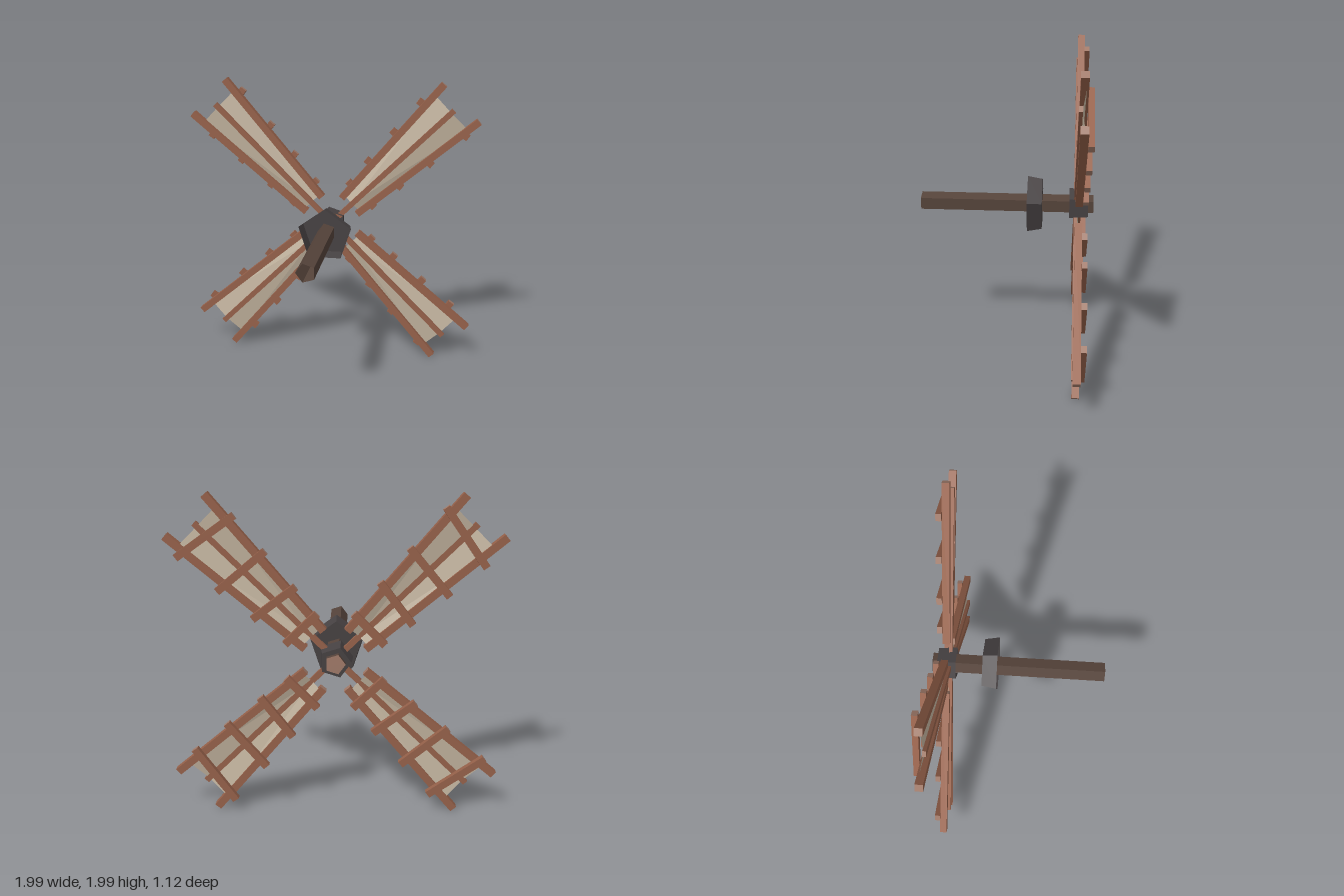
import * as THREE from 'three';

const make = (name, color, side = THREE.FrontSide) =>
  new THREE.MeshStandardMaterial({ name, color, side, flatShading: true });

export function createModel() {
  const wood = make('wood', 0x96614a);
  const endGrain = make('end grain', 0xa07a69, THREE.DoubleSide);
  const darkWood = make('dark wood', 0x55433a, THREE.DoubleSide);
  const iron = make('iron', 0x464142, THREE.DoubleSide);
  const cloth = make('cloth', 0xc4b5a0, THREE.DoubleSide);

  const model = new THREE.Group();
  model.name = 'windmillSails';
  const rotor = new THREE.Group();
  rotor.name = 'rotor';
  rotor.position.y = 1.005;
  model.add(rotor);

  const add = (parent, name, geometry, material) => {
    const mesh = new THREE.Mesh(geometry, material);
    mesh.name = name;
    parent.add(mesh);
    return mesh;
  };

  // Five-sided sleeve along z, open in front and closed behind; angle points one corner
  const sleeve = (name, rFront, rBack, zFront, zBack, angle, wallMat, capMat) => {
    const g = new THREE.Group();
    g.name = name;
    const wall = new THREE.CylinderGeometry(rFront, rBack, zFront - zBack, 5, 1, true, angle + Math.PI / 2);
    wall.rotateX(Math.PI / 2);
    add(g, name + 'Wall', wall, wallMat).position.z = (zFront + zBack) / 2;
    const cap = new THREE.CircleGeometry(rBack, 5, angle);
    cap.rotateY(Math.PI);
    // the half turn mirrors x, so restore the corner direction
    cap.rotateZ(2 * angle - Math.PI);
    add(g, name + 'Back', cap, capMat).position.z = zBack;
    rotor.add(g);
  };
  sleeve('shaft', 0.063, 0.063, 0.56, -0.56, Math.PI, darkWood, endGrain);
  sleeve('collar', 0.187, 0.17, -0.135, -0.23, Math.PI / 2, iron, iron);
  sleeve('hub', 0.107, 0.097, -0.405, -0.525, Math.PI, iron, iron);

  // Edge spar centre line: distance from the blade axis at radius u
  const edge = (u) => 0.078 + (u - 0.18) * 0.0877;
  const lengthwise = [endGrain, endGrain, wood, wood, wood, wood];
  const crosswise = [wood, wood, endGrain, endGrain, wood, wood];

  // Cross slats: radius at the +y end, radius at the -y end, half length
  const slats = [
    [1.017, 1.088, 0.21],
    [0.752, 0.785, 0.185],
    [0.483, 0.526, 0.16],
    [0.282, 0.286, 0.132],
  ];

  // Folded cloth half, from the central ridge to an edge spar
  const sailHalf = (s) => {
    const u0 = 0.2, u1 = 1.125, ridge = -0.453, back = -0.48;
    const a = [u0, 0, ridge], b = [u1, 0, ridge];
    const c = [u1, s * edge(u1), back], d = [u0, s * edge(u0), back];
    const tris = s > 0 ? [a, b, c, a, c, d] : [a, c, b, a, d, c];
    const geo = new THREE.BufferGeometry();
    geo.setAttribute('position', new THREE.Float32BufferAttribute(tris.flat(), 3));
    geo.computeVertexNormals();
    return geo;
  };

  for (let k = 0; k < 4; k++) {
    const blade = new THREE.Group();
    blade.name = 'blade' + (k + 1);
    blade.rotation.z = Math.PI / 4 + (k * Math.PI) / 2;
    rotor.add(blade);

    // Central spar
    const mid = add(blade, 'centreSpar', new THREE.BoxGeometry(1.15, 0.036, 0.022), lengthwise);
    mid.position.set(0.575, 0, -0.446);

    // Edge spars and cloth
    for (const s of [1, -1]) {
      const u0 = 0.178, u1 = 1.218;
      const dy = edge(u1) - edge(u0);
      const spar = add(blade, 'edgeSpar', new THREE.BoxGeometry(Math.hypot(u1 - u0, dy), 0.046, 0.046), lengthwise);
      spar.position.set((u0 + u1) / 2, (s * (edge(u0) + edge(u1))) / 2, -0.465);
      spar.rotation.z = s * Math.atan2(dy, u1 - u0);
      add(blade, 'sailCloth', sailHalf(s), cloth);
    }

    // Slats across the back
    for (const [top, bottom, half] of slats) {
      const slat = add(blade, 'slat', new THREE.BoxGeometry(0.045, half * 2, 0.034), crosswise);
      slat.position.set((top + bottom) / 2, 0, -0.504);
      slat.rotation.z = Math.atan2(bottom - top, half * 2);
    }
  }
  return model;
}
